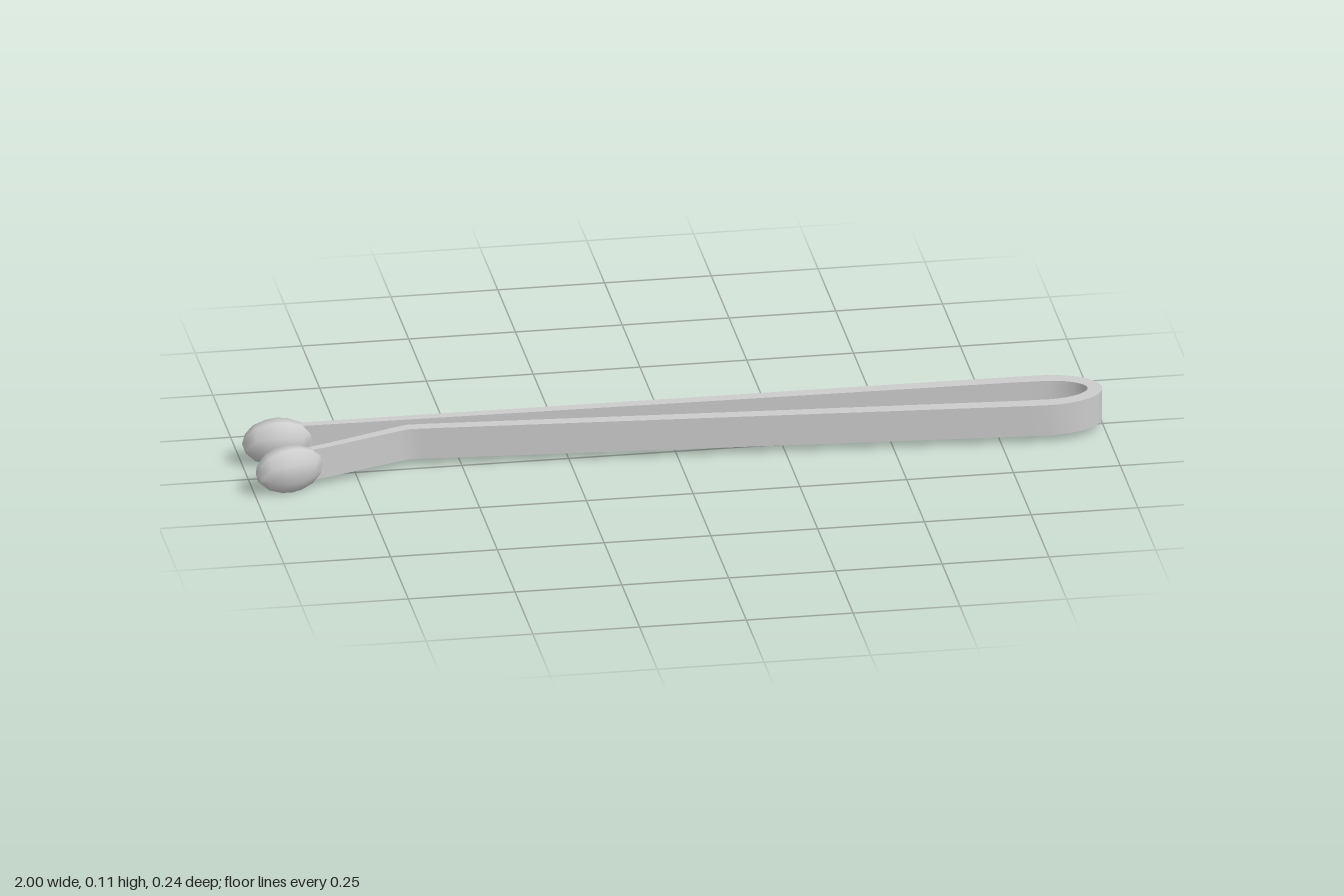
import * as THREE from 'three';
import { toCreasedNormals } from 'three/addons/utils/BufferGeometryUtils.js';

const material = new THREE.MeshStandardMaterial({ color: 0xcccccc, side: THREE.DoubleSide });

// Centre line of the bent strip, as [x, z, thickness]
function stripPath() {
  const path = [[-0.92, -0.085, 0.02], [-0.8, -0.085, 0.022], [0, -0.079, 0.028], [0.8, -0.073, 0.033]];
  // rounded loop end
  const steps = 16;
  for (let i = 0; i <= steps; i++) {
    const a = -Math.PI / 2 + (Math.PI * i) / steps;
    path.push([0.862 + 0.12 * Math.cos(a), 0.071 * Math.sin(a), 0.034]);
  }
  path.push([0.8, 0.068, 0.033], [0, 0.013, 0.029], [-0.59, -0.028, 0.027],
    [-0.62, -0.029, 0.027], [-0.65, -0.02, 0.025], [-0.83, 0.048, 0.02], [-0.92, 0.075, 0.018]);
  return path;
}

// Thicken the centre line to both sides and extrude it upwards
function stripGeometry(y0, y1) {
  const path = stripPath();
  const outer = [], inner = [];
  path.forEach(([x, z, t], i) => {
    const p = path[Math.max(i - 1, 0)], n = path[Math.min(i + 1, path.length - 1)];
    const dir = new THREE.Vector2(n[0] - p[0], n[1] - p[1]).normalize();
    const ox = (dir.y * t) / 2, oz = (-dir.x * t) / 2;
    outer.push(new THREE.Vector2(x + ox, -(z + oz)));
    inner.unshift(new THREE.Vector2(x - ox, -(z - oz)));
  });
  const shape = new THREE.Shape([...outer, ...inner]);
  const geo = new THREE.ExtrudeGeometry(shape, { depth: y1 - y0, bevelEnabled: false });
  geo.rotateX(-Math.PI / 2).translate(0, y0, 0);
  return toCreasedNormals(geo, 0.6);
}

// Eight-sided rounded bead, lying along x
function tipGeometry(length, height, width) {
  const profile = [[0, -1], [0.42, -0.9], [0.75, -0.66], [0.95, -0.3], [1, 0], [0.95, 0.3], [0.75, 0.66], [0.42, 0.9], [0, 1]]
    .map(([r, y]) => new THREE.Vector2(r / Math.cos(Math.PI / 8), y));
  const geo = new THREE.LatheGeometry(profile, 8, Math.PI / 8);
  geo.rotateZ(-Math.PI / 2).scale(length / 2, height / 2, width / 2);
  geo.computeVertexNormals();
  return toCreasedNormals(geo, 1);
}

export function createModel() {
  const group = new THREE.Group();
  group.name = 'hairPin';

  const strip = new THREE.Mesh(stripGeometry(0.017, 0.093), material);
  strip.name = 'bentStrip';
  group.add(strip);

  // Beads on the two free ends
  for (const [name, x, z, turn] of [['backTip', -0.917, -0.085, 0], ['frontTip', -0.917, 0.076, 0.25]]) {
    const tip = new THREE.Mesh(tipGeometry(0.168, 0.107, 0.077), material);
    tip.name = name;
    tip.position.set(x, 0.0535, z);
    tip.rotation.y = turn;
    group.add(tip);
  }
  return group;
}
